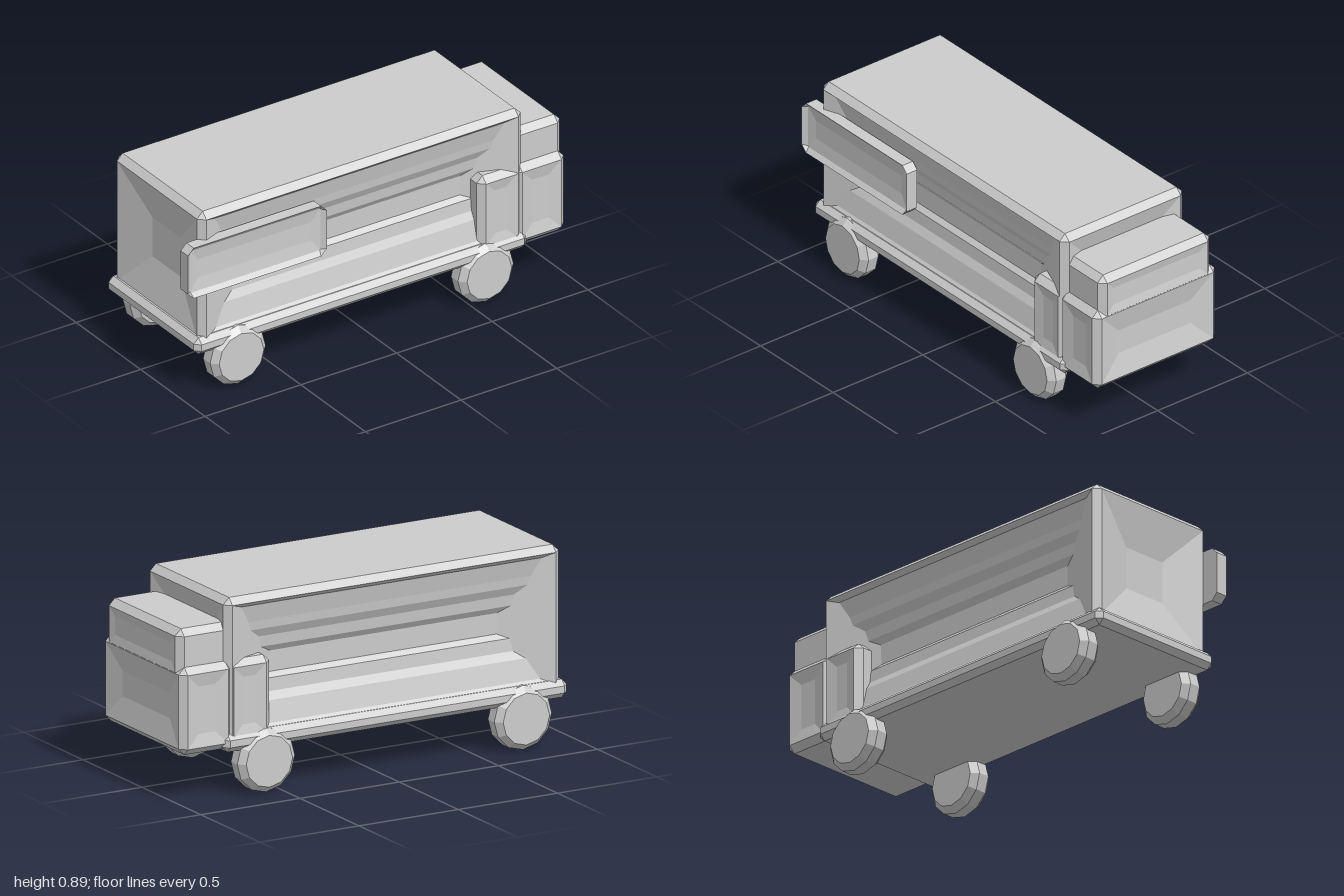
import * as THREE from 'three';

const paint = new THREE.MeshStandardMaterial({ color: 0xcccccc });
paint.name = 'light grey';

// Collects flat polygons; each is turned to agree with its outward direction
function facets() {
  const pos = [];
  return {
    poly(pts, out) {
      const v = pts.map(p => new THREE.Vector3(...p));
      for (let i = 1; i < v.length - 1; i++) {
        const n = v[i].clone().sub(v[0]).cross(v[i + 1].clone().sub(v[0]));
        if (n.length() < 1e-9) continue;
        const tri = n.dot(out) >= 0 ? [v[0], v[i], v[i + 1]] : [v[0], v[i + 1], v[i]];
        tri.forEach(p => pos.push(p.x, p.y, p.z));
      }
    },
    mesh(name) {
      const g = new THREE.BufferGeometry();
      g.setAttribute('position', new THREE.Float32BufferAttribute(pos, 3));
      g.computeVertexNormals();
      const m = new THREE.Mesh(g, paint);
      m.name = name;
      return m;
    },
  };
}

// Chamfered box whose faces may be dished: dish(axis, sign) gives [inset, depth],
// null for a flat face, or false to leave the face open
function chamferBox(name, min, max, b, dish = () => null) {
  const f = facets(), signs = [-1, 1];
  const c = min.map((m, i) => (m + max[i]) / 2), h = min.map((m, i) => (max[i] - m) / 2);
  const at = (full, s, inset = 0, depth = 0) =>
    c.map((m, i) => m + s[i] * (i === full ? h[i] - depth : h[i] - b - inset));
  const vec = (...pairs) => {
    const s = [0, 0, 0];
    pairs.forEach(([i, k]) => { s[i] = k; });
    return s;
  };
  const loop = [[-1, -1], [1, -1], [1, 1], [-1, 1]];
  for (let a = 0; a < 3; a++) for (const s of signs) {
    const u = (a + 1) % 3, v = (a + 2) % 3, out = new THREE.Vector3(...vec([a, s]));
    // Face, with a sloped border when dished
    const d = dish(a, s);
    if (d !== false) {
      const [inset, depth] = d || [0, 0];
      const ring = (i, k) => loop.map(([p, q]) => at(a, vec([a, s], [u, p], [v, q]), i, k));
      const outer = ring(0, 0), inner = ring(inset, depth);
      f.poly(inner, out);
      if (d) for (let i = 0; i < 4; i++) {
        const j = (i + 1) % 4;
        f.poly([outer[i], outer[j], inner[j], inner[i]], out);
      }
    }
    // Chamfered edges
    for (const t of signs) {
      const e = k => vec([a, s], [u, t], [v, k]);
      f.poly([at(a, e(-1)), at(a, e(1)), at(u, e(1)), at(u, e(-1))],
        new THREE.Vector3(...vec([a, s], [u, t])));
    }
  }
  // Corners
  for (const x of signs) for (const y of signs) for (const z of signs) {
    const s = [x, y, z];
    f.poly([at(0, s), at(1, s), at(2, s)], new THREE.Vector3(...s));
  }
  return f.mesh(name);
}

// Recessed side wall: terraces step inwards towards mid height, ends slope in
function terracedWall(side) {
  const f = facets(), out = new THREE.Vector3(0, 0, side);
  const profile = [[0.865, 0], [0.845, 0.022], [0.765, 0.04], [0.725, 0.045], [0.685, 0.066],
    [0.635, 0.072], [0.605, 0.093], [0.51, 0.094], [0.488, 0.074], [0.43, 0.068],
    [0.395, 0.048], [0.30, 0.025], [0.27, 0]];
  const x0 = -0.885, x1 = 0.745, z = 0.34, slope = 2.6;
  const rows = profile.map(([y, d]) => [
    [x0, y, side * z], [x0 + d * slope, y, side * (z - d)],
    [x1 - d * slope, y, side * (z - d)], [x1, y, side * z]]);
  for (let i = 0; i < rows.length - 1; i++) for (let k = 0; k < 3; k++)
    f.poly([rows[i][k], rows[i][k + 1], rows[i + 1][k + 1], rows[i + 1][k]], out);
  return f.mesh(side > 0 ? 'frontSideWall' : 'backSideWall');
}

// Board with cut corners and a sunken face, built from stacked rings
function signBoard() {
  const f = facets(), cx = -0.6375, cy = 0.64;
  const ring = (w, h, k, z) => [[-w, -h + k], [-w + k, -h], [w - k, -h], [w, -h + k],
    [w, h - k], [w - k, h], [-w + k, h], [-w, h - k]].map(([x, y]) => [cx + x, cy + y, z]);
  const rings = [ring(0.3625, 0.125, 0.03, 0.31), ring(0.3625, 0.125, 0.03, 0.368),
    ring(0.341, 0.104, 0.004, 0.35), ring(0.295, 0.045, 0, 0.342)];
  const front = new THREE.Vector3(0, 0, 1);
  for (let r = 0; r < 3; r++) for (let i = 0; i < 8; i++) {
    const j = (i + 1) % 8, a = rings[r], b = rings[r + 1];
    const out = r ? front
      : new THREE.Vector3(a[i][0] + a[j][0] - 2 * cx, a[i][1] + a[j][1] - 2 * cy, 0);
    f.poly([a[i], a[j], b[j], b[i]], out);
  }
  f.poly(rings[3], front);
  f.poly(rings[0], front.clone().negate());
  return f.mesh('signBoard');
}

// Low-poly wheel with bevelled rims
function wheel(x, side) {
  const pts = [[0, -0.056], [0.117, -0.056], [0.145, -0.027],
    [0.145, 0.027], [0.117, 0.056], [0, 0.056]].map(p => new THREE.Vector2(...p));
  const g = new THREE.LatheGeometry(pts, 12).toNonIndexed();
  g.rotateX(Math.PI / 2);
  g.computeVertexNormals();
  const m = new THREE.Mesh(g, paint);
  m.name = (x > 0 ? 'cabWheel' : 'tailWheel') + (side > 0 ? 'Front' : 'Back');
  m.position.set(x, 0.145, side * 0.311);
  return m;
}

export function createModel() {
  const model = new THREE.Group();
  model.name = 'boxTruck';

  // Cargo body with open sides filled by terraced walls
  model.add(chamferBox('cargoBody', [-0.915, 0.24, -0.34], [0.775, 0.895, 0.34], 0.03,
    (a, s) => (a === 2 ? false : a === 0 ? (s < 0 ? [0.2, 0.05] : [0.17, 0.045]) : null)));
  for (const side of [1, -1]) model.add(terracedWall(side));

  // Chassis skirt
  model.add(chamferBox('chassis', [-0.945, 0.205, -0.355], [0.79, 0.287, 0.355], 0.025));

  // Cab: lower part, upper part and doors
  model.add(chamferBox('cabLower', [0.735, 0.218, -0.34], [1, 0.612, 0.34], 0.03,
    (a, s) => (a === 0 && s > 0 ? [0.11, 0.022] : a === 2 ? [0.06, 0.012] : null)));
  model.add(chamferBox('cabUpper', [0.69, 0.556, -0.31], [1, 0.78, 0.31], 0.03,
    (a, s) => (a === 0 && s > 0 ? [0.04, 0.008] : null)));
  model.add(chamferBox('doors', [0.545, 0.24, -0.342], [0.768, 0.614, 0.342], 0.03,
    a => (a === 2 ? [0.05, 0.01] : null)));

  model.add(signBoard());

  // Wheels
  for (const x of [-0.72, 0.575]) for (const side of [1, -1]) model.add(wheel(x, side));
  return model;
}
